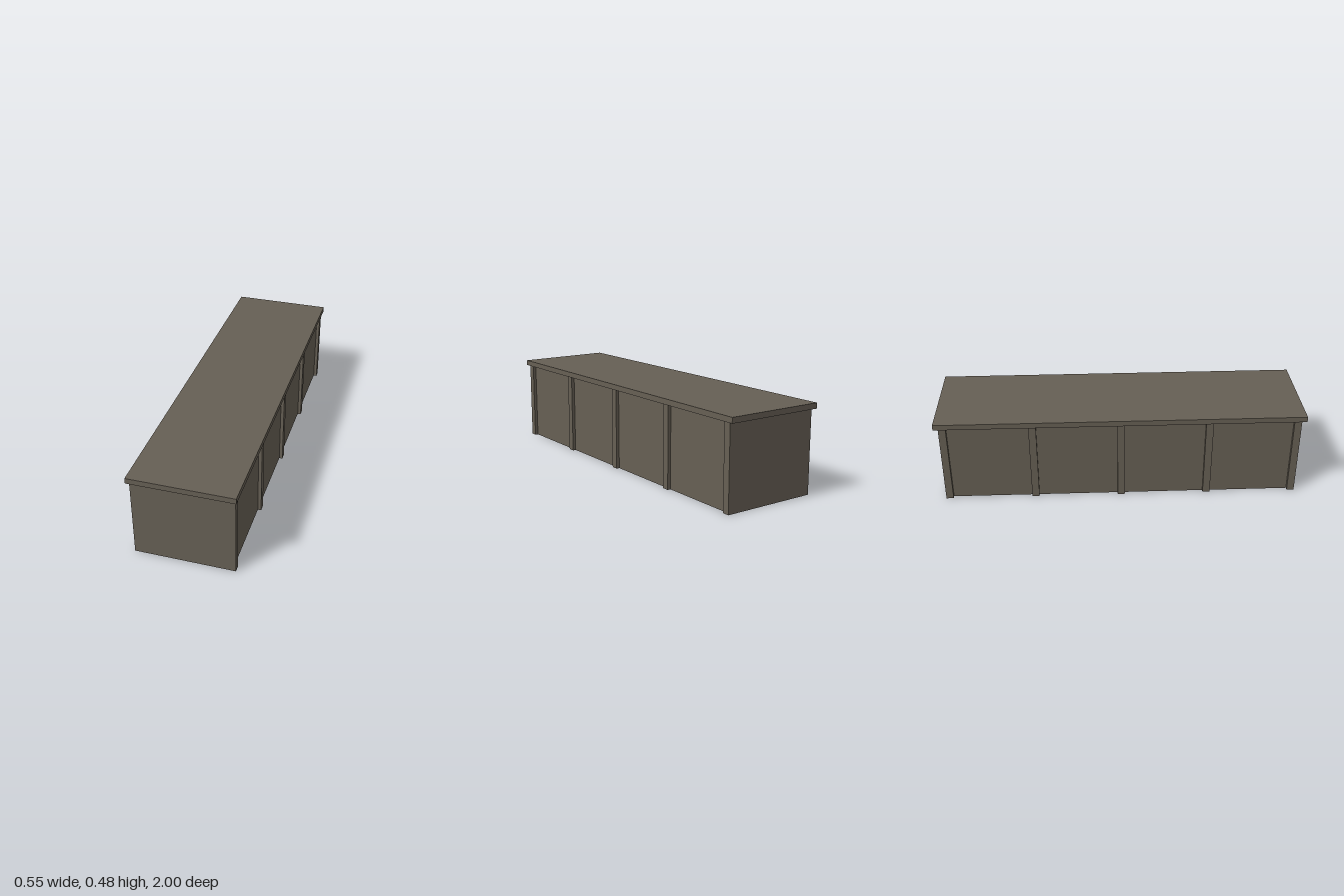
import * as THREE from 'three';

export function createModel() {
  const model = new THREE.Group();
  const stone = new THREE.MeshStandardMaterial({ color: 0x665f54, side: THREE.DoubleSide });
  stone.name = 'stone';

  const W = 0.53, L = 1.95, H = 0.45;          // body, over the posts
  const postDepth = 0.018, postWidth = 0.04;
  const wallX = W / 2 - postDepth;             // side walls sit behind the posts

  const add = (name, geometry, x, y, z, turn = 0) => {
    const mesh = new THREE.Mesh(geometry, stone);
    mesh.name = name;
    mesh.position.set(x, y, z);
    mesh.rotation.y = turn;
    model.add(mesh);
  };

  // overhanging slab on top
  add('lid', new THREE.BoxGeometry(0.55, 0.03, 2), 0, H + 0.015, 0);

  // hollow body, open underneath
  const endPanel = new THREE.PlaneGeometry(wallX * 2, H);
  const sidePanel = new THREE.PlaneGeometry(L, H);
  const post = new THREE.BoxGeometry(postDepth, H, postWidth);
  add('frontWall', endPanel, 0, H / 2, L / 2);
  add('backWall', endPanel, 0, H / 2, -L / 2, Math.PI);

  for (const [side, s] of [['left', 1], ['right', -1]]) {
    add(side + 'Wall', sidePanel, s * wallX, H / 2, 0, s * Math.PI / 2);
    // five evenly spaced posts along each side
    for (let i = 0; i < 5; i++) {
      const z = (i / 4 - 0.5) * (L - postWidth);
      add(side + 'Post' + (i + 1), post, s * (wallX + postDepth / 2), H / 2, z);
    }
  }
  return model;
}
